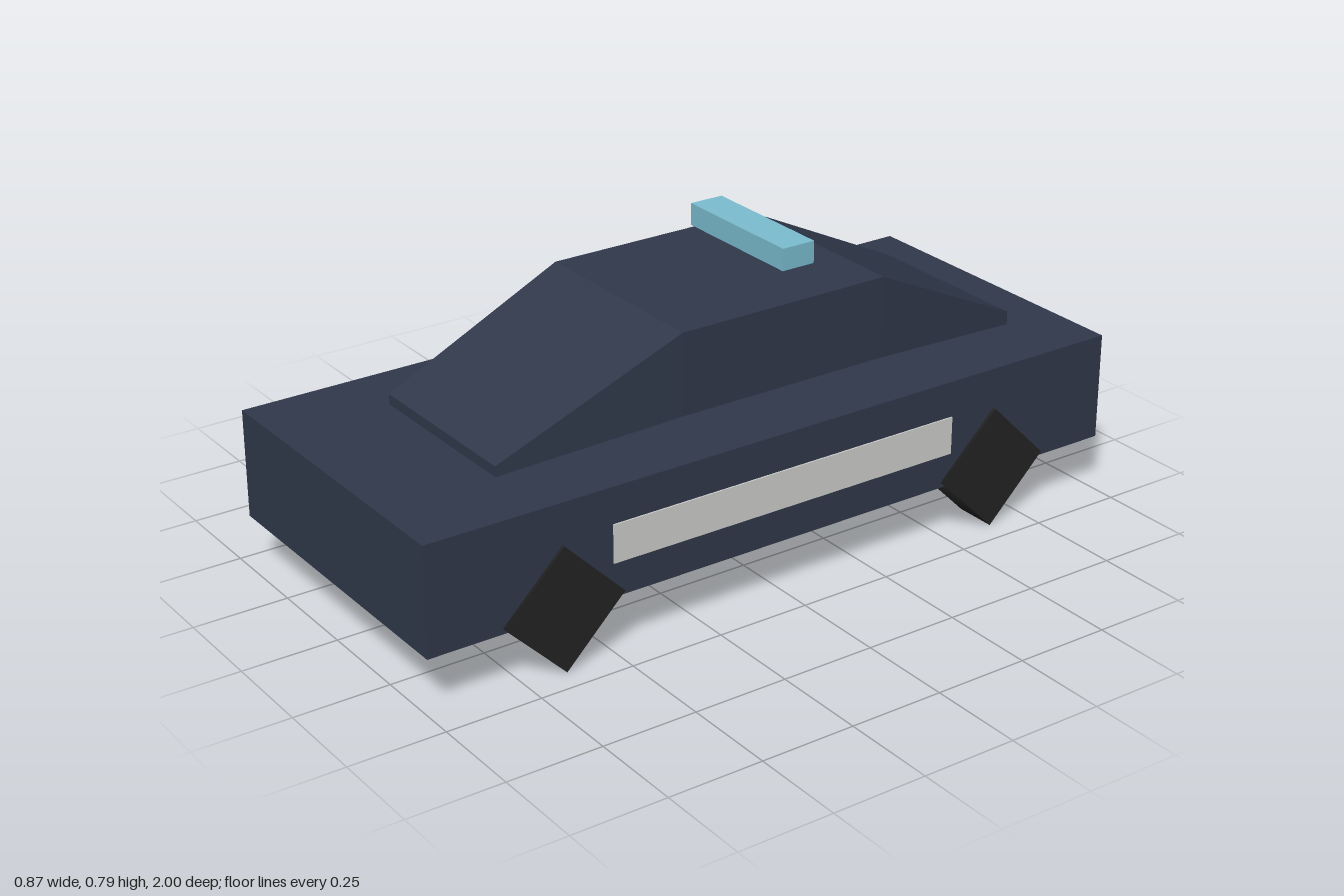
import * as THREE from 'three';

const makeMaterial = (name, color) => {
  const m = new THREE.MeshStandardMaterial({ color });
  m.name = name;
  return m;
};

// Hull lofted through rectangular sections [z, halfWidth, bottom, top], front to back
function loft(sections) {
  const pos = [];
  const rings = sections.map(([z, w, b, t]) => [[-w, b, z], [w, b, z], [w, t, z], [-w, t, z]]);
  const quad = (a, b, c, d) => pos.push(...a, ...b, ...c, ...a, ...c, ...d);
  quad(...rings[0]);
  for (let i = 0; i < rings.length - 1; i++) {
    const f = rings[i], r = rings[i + 1];
    for (let k = 0; k < 4; k++) {
      const n = (k + 1) % 4;
      quad(f[k], r[k], r[n], f[n]);
    }
  }
  quad(...rings[rings.length - 1].slice().reverse());
  const g = new THREE.BufferGeometry();
  g.setAttribute('position', new THREE.Float32BufferAttribute(pos, 3));
  g.computeVertexNormals();
  return g;
}

export function createModel() {
  const car = new THREE.Group();
  car.name = 'car';
  const navy = makeMaterial('navy paint', 0x30384b);
  const black = makeMaterial('black rubber', 0x232323);
  const silver = makeMaterial('silver trim', 0xcfd0ce);
  const blue = makeMaterial('light blue', 0x7bbdd0);

  const add = (name, geometry, material, x = 0, y = 0, z = 0) => {
    const mesh = new THREE.Mesh(geometry, material);
    mesh.name = name;
    mesh.position.set(x, y, z);
    car.add(mesh);
  };

  // Slab body
  add('body', new THREE.BoxGeometry(0.856, 0.284, 2), navy, 0, 0.291, 0);

  // Cabin floating just above the body
  add('cabin', loft([
    [0.7, 0.243, 0.439, 0.466],
    [0.2, 0.273, 0.468, 0.683],
    [-0.4, 0.273, 0.468, 0.683],
    [-0.84, 0.243, 0.439, 0.474],
  ]), navy);

  // Roof light bar
  add('lightBar', new THREE.BoxGeometry(0.382, 0.058, 0.094), blue, 0, 0.757, -0.2);

  // Four-sided wheels and side stripes
  const wheel = new THREE.CylinderGeometry(0.163, 0.163, 0.112, 4).rotateZ(Math.PI / 2);
  const stripe = new THREE.BoxGeometry(0.006, 0.1, 1.006);
  for (const [side, s] of [['left', 1], ['right', -1]]) {
    add(side + 'Stripe', stripe, silver, s * 0.429, 0.288, 0);
    add(side + 'FrontWheel', wheel, black, s * 0.381, 0.163, 0.64);
    add(side + 'RearWheel', wheel, black, s * 0.381, 0.163, -0.64);
  }
  return car;
}
